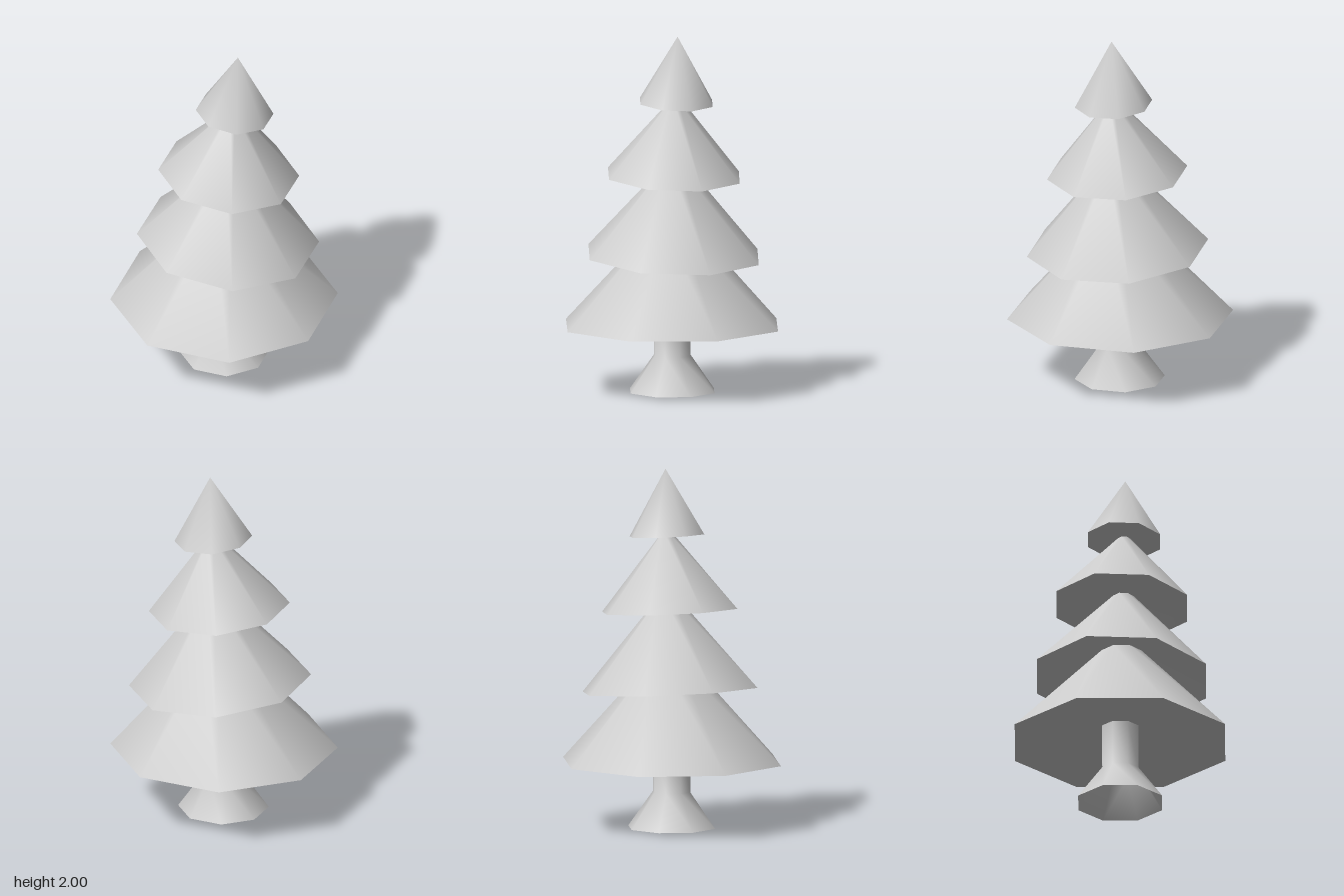
import * as THREE from 'three';
import { mergeVertices } from 'three/addons/utils/BufferGeometryUtils.js';

const SIDES = 8;
const material = new THREE.MeshStandardMaterial({ color: 0xcccccc, side: THREE.DoubleSide });

// Smooth eight-sided skin through a stack of tilted rings
function loft(name, rings) {
  const points = [];
  const index = [];
  rings.forEach(({ x, y, r, tilt = 0 }, k) => {
    for (let i = 0; i < SIDES; i++) {
      const angle = (i / SIDES) * Math.PI * 2;
      const across = r * Math.sin(angle);
      points.push(x + across * Math.cos(tilt), y - across * Math.sin(tilt), r * Math.cos(angle));
      if (k === 0) continue;
      const next = (i + 1) % SIDES;
      const low = (k - 1) * SIDES;
      const high = k * SIDES;
      index.push(low + i, low + next, high + i, low + next, high + next, high + i);
    }
  });
  const geometry = new THREE.BufferGeometry();
  geometry.setAttribute('position', new THREE.Float32BufferAttribute(points, 3));
  geometry.setIndex(index);
  const merged = mergeVertices(geometry); // joins the points of the tip
  merged.computeVertexNormals();
  const mesh = new THREE.Mesh(merged, material);
  mesh.name = name;
  return mesh;
}

export function createModel() {
  const tree = new THREE.Group();
  tree.name = 'tree';

  // Trunk: hollow, flared foot and straight neck
  const trunkTop = { x: 0.004, y: 0.455, r: 0.11 };
  tree.add(loft('trunk', [
    { x: 0.003, y: 0, r: 0.252 },
    { x: 0.004, y: 0.2, r: 0.108 },
    trunkTop,
  ]));

  // Tiers: each has a wide rim and a narrow top, which meets the hollow underside of the next
  const tiers = [
    ['bottomTier', { x: 0, y: 0.368, r: 0.632 }, { x: 0.025, y: 0.92, r: 0.12, tilt: 0.04 }],
    ['lowerMiddleTier', { x: 0.022, y: 0.768, r: 0.508, tilt: 0.086 }, { x: 0.05, y: 1.275, r: 0.062, tilt: 0.085 }],
    ['upperMiddleTier', { x: 0.026, y: 1.213, r: 0.393, tilt: 0.086 }, { x: 0.06, y: 1.637, r: 0.036, tilt: 0.09 }],
    ['topTier', { x: 0.059, y: 1.629, r: 0.217, tilt: 0.094 }, { x: 0.077, y: 2, r: 0 }],
  ];
  let below = trunkTop;
  for (const [name, rim, top] of tiers) {
    const tier = new THREE.Group();
    tier.name = name;
    tier.add(loft(name + 'Underside', [below, rim]), loft(name + 'Slope', [rim, top]));
    tree.add(tier);
    below = top;
  }
  return tree;
}
